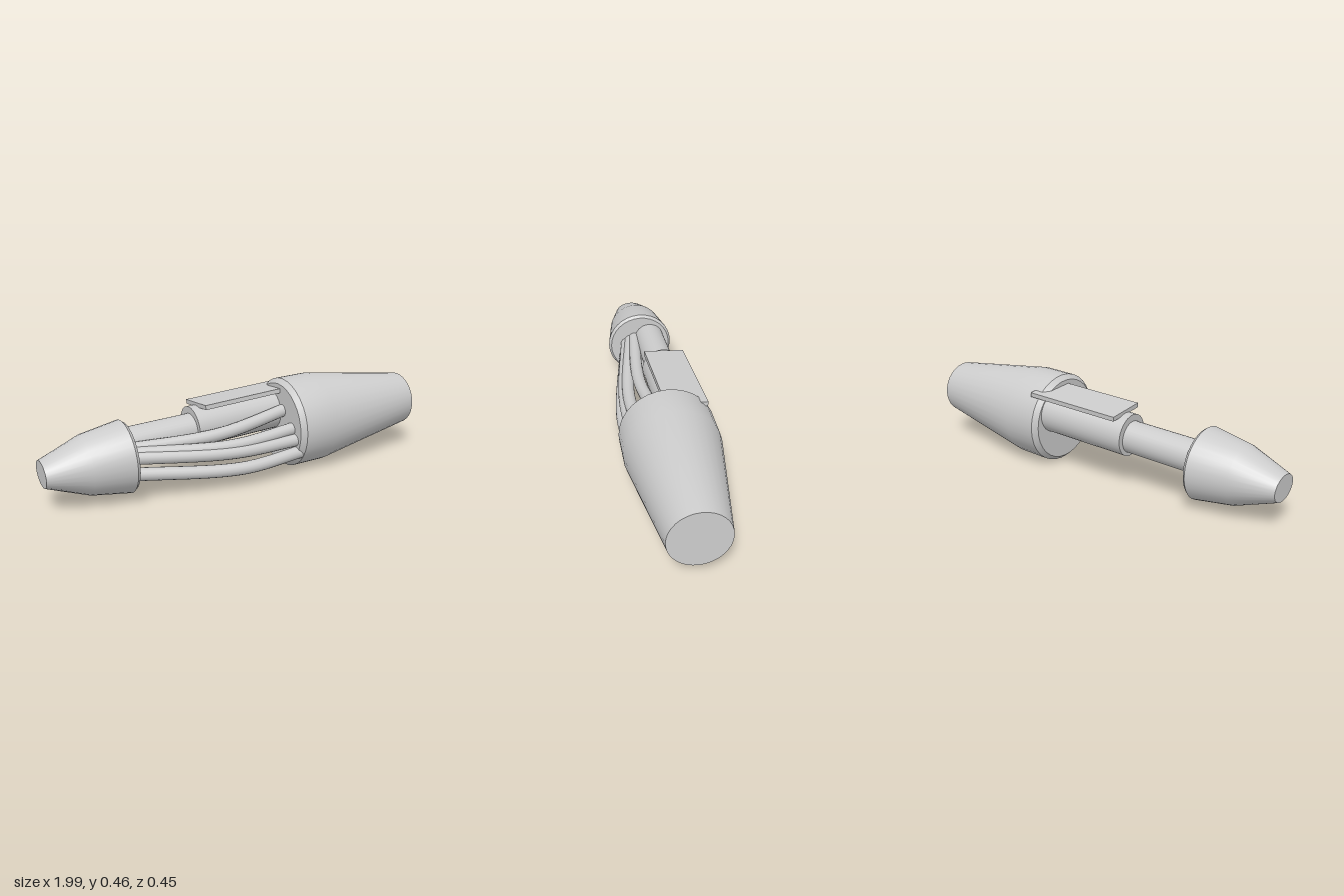
import * as THREE from 'three';
import { toCreasedNormals } from 'three/addons/utils/BufferGeometryUtils.js';

const material = new THREE.MeshStandardMaterial({ color: 0xcccccc });
const V = (x, y, z) => new THREE.Vector3(x, y, z);

function part(name, geometry, parent) {
  const mesh = new THREE.Mesh(geometry, material);
  mesh.name = name;
  parent.add(mesh);
  return mesh;
}

// Solid of revolution along +x from [x, radius] pairs
function turned(profile) {
  const g = new THREE.LatheGeometry(profile.map(([x, r]) => new THREE.Vector2(r, x)), 32);
  return g.rotateZ(-Math.PI / 2);
}

// Round bar running from a to b
function bar(name, a, b, radius, parent) {
  const mesh = part(name, new THREE.CylinderGeometry(radius, radius, a.distanceTo(b), 32), parent);
  mesh.position.copy(a).lerp(b, 0.5);
  mesh.quaternion.setFromUnitVectors(V(0, 1, 0), b.clone().sub(a).normalize());
}

export function createModel() {
  const model = new THREE.Group();
  model.name = 'handpiece';

  // Both tapered housings share one slightly rising axis
  const housings = new THREE.Group();
  housings.name = 'housings';
  housings.position.y = 0.222;
  housings.rotation.z = 0.037;
  model.add(housings);

  part('mainHousing', toCreasedNormals(turned([
    [0.225, 0], [0.225, 0.205], [0.25, 0.227], [0.42, 0.227], [0.985, 0.138], [0.985, 0],
  ]), 0.45), housings);

  // Nose, flattened a little towards its tip
  const nose = turned([
    [-0.995, 0], [-0.995, 0.084], [-0.8, 0.14], [-0.61, 0.172], [-0.595, 0.16], [-0.595, 0],
  ]);
  const p = nose.attributes.position;
  for (let i = 0; i < p.count; i++) {
    const t = THREE.MathUtils.clamp((-0.8 - p.getX(i)) / 0.195, 0, 1);
    p.setY(i, p.getY(i) * (1 - 0.27 * t));
  }
  part('noseHousing', toCreasedNormals(nose, 0.45), housings);

  // Telescoping rod joining the housings
  bar('rod', V(-0.65, 0.237, -0.049), V(-0.15, 0.261, -0.061), 0.077, model);
  bar('sleeve', V(-0.243, 0.265, -0.062), V(0.3, 0.291, -0.082), 0.102, model);

  // Thin plate lying on the sleeve, rolled towards the back
  const plate = part('plate', new THREE.BoxGeometry(0.5, 0.022, 0.2), model);
  plate.position.set(0.04, 0.385, -0.075);
  plate.rotation.set(-0.09, 0.037, 0.055);

  // Hanging cables: start, middle and end points
  const cables = [
    [[-0.63, 0.24, 0.03], [-0.15, 0.252, 0.07], [0.26, 0.31, 0.03]],
    [[-0.63, 0.23, 0.05], [-0.12, 0.205, 0.13], [0.26, 0.235, 0.12]],
    [[-0.63, 0.215, 0.07], [-0.12, 0.178, 0.15], [0.26, 0.182, 0.15]],
    [[-0.63, 0.14, 0.08], [-0.08, 0.098, 0.17], [0.26, 0.12, 0.16]],
  ];
  cables.forEach((points, i) => {
    const curve = new THREE.CatmullRomCurve3(points.map((q) => V(...q)));
    part('cable' + (i + 1), new THREE.TubeGeometry(curve, 24, 0.031, 16), model);
  });

  return model;
}
